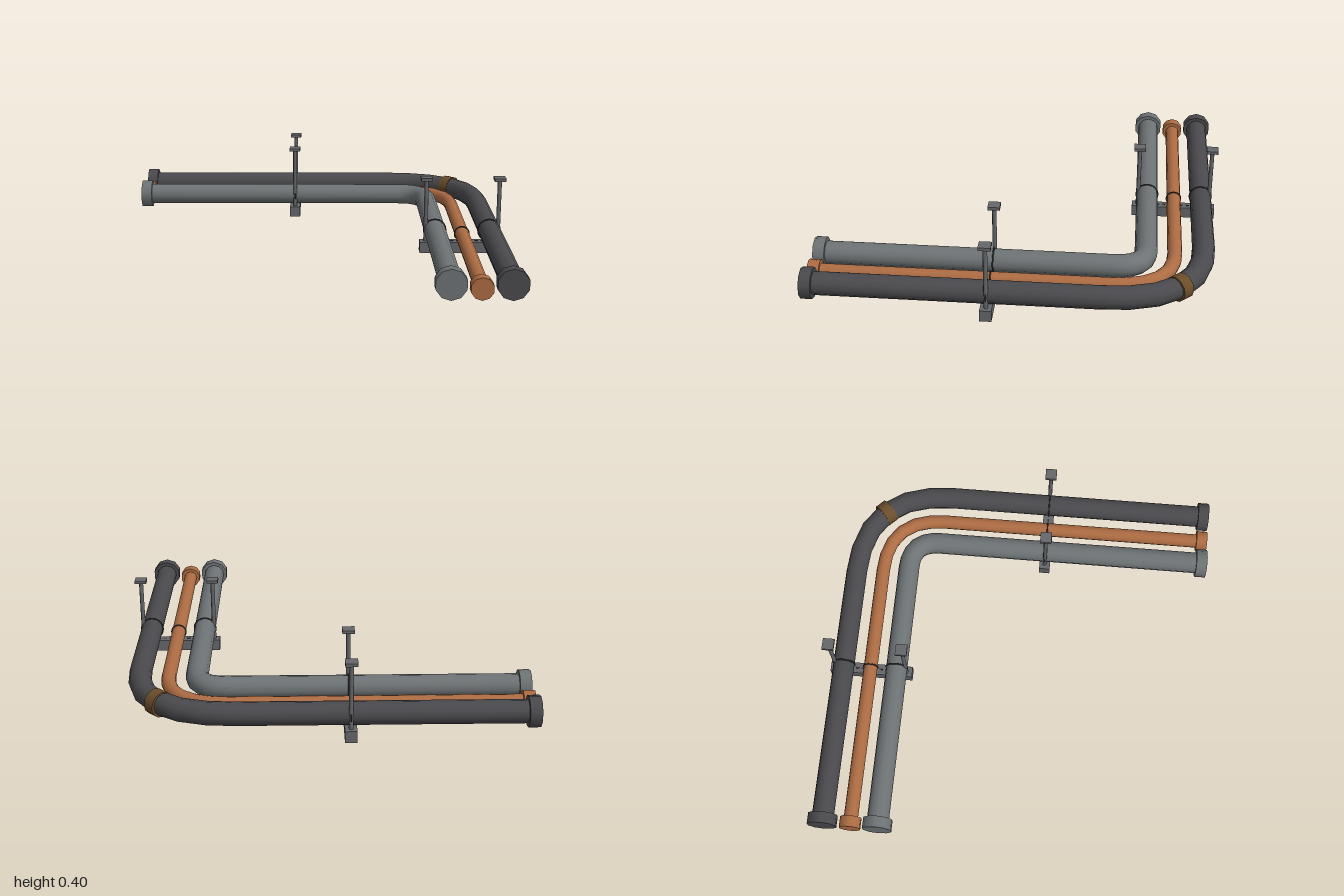
import * as THREE from 'three';

const mat = (name, color, extra = {}) => new THREE.MeshStandardMaterial({ name, color, ...extra });

export function createModel() {
  const root = new THREE.Group();
  root.name = 'pipeCorner';
  const darkIron = mat('darkIron', 0x4a494d);
  const greySteel = mat('greySteel', 0x6e7375);
  const copper = mat('copper', 0xad6c43);
  const bracket = mat('bracketSteel', 0x66676b);
  const rust = mat('rustBand', 0x6b4d2b);
  const black = mat('clampBlack', 0x353538);

  const add = (parent, name, geometry, material, x = 0, y = 0, z = 0) => {
    const mesh = new THREE.Mesh(geometry, material);
    mesh.name = name;
    mesh.position.set(x, y, z);
    parent.add(mesh);
    return mesh;
  };

  // d: distance of each run from the centre, s: where the bend starts
  const pipes = [
    { name: 'outerPipe', d: 0.92, s: 0.43, y: 0.117, r: 0.057, cap: 0.077, m: darkIron },
    { name: 'middlePipe', d: 0.778, s: 0.46, y: 0.097, r: 0.037, cap: 0.056, m: copper },
    { name: 'innerPipe', d: 0.635, s: 0.48, y: 0.117, r: 0.057, cap: 0.077, m: greySteel },
  ];
  const capLength = 0.058;

  for (const p of pipes) {
    const g = new THREE.Group();
    g.name = p.name;
    root.add(g);
    const v = (x, z) => new THREE.Vector3(x, p.y, z);

    // two straight runs joined by a bend
    const back = new THREE.LineCurve3(v(-0.99, -p.d), v(p.s, -p.d));
    const bend = new THREE.QuadraticBezierCurve3(v(p.s, -p.d), v(p.d, -p.d), v(p.d, -p.s));
    const side = new THREE.LineCurve3(v(p.d, -p.s), v(p.d, 0.99));
    add(g, 'backRun', new THREE.TubeGeometry(back, 1, p.r, 12), p.m);
    add(g, 'bend', new THREE.TubeGeometry(bend, 6, p.r, 12), p.m);
    add(g, 'sideRun', new THREE.TubeGeometry(side, 1, p.r, 12), p.m);

    // end flanges
    const capGeo = new THREE.CylinderGeometry(p.cap, p.cap, capLength, 10).rotateX(Math.PI / 2);
    add(g, 'frontFlange', capGeo, p.m, p.d, p.y, 1 - capLength / 2);
    add(g, 'leftEndFlange', capGeo, p.m, -1 + capLength / 2, p.y, -p.d).rotation.y = Math.PI / 2;
  }

  // band around the middle of the outer bend
  const bandGeo = new THREE.CylinderGeometry(0.064, 0.064, 0.06, 12).rotateZ(Math.PI / 2);
  add(root, 'bendBand', bandGeo, rust, 0.797, 0.117, -0.797).rotation.y = -Math.PI / 4;

  // hanger: beam under the pipes, two rods with plates, pipe clamps
  const makeSupport = (name) => {
    const g = new THREE.Group();
    g.name = name;
    add(g, 'beam', new THREE.BoxGeometry(0.442, 0.058, 0.058), bracket, 0.777, 0.029, 0);
    for (const x of [0.587, 0.967]) {
      add(g, 'rod', new THREE.CylinderGeometry(0.011, 0.011, 0.34, 8), bracket, x, 0.225, 0);
      add(g, 'ceilingPlate', new THREE.BoxGeometry(0.06, 0.016, 0.06), bracket, x, 0.394, 0);
    }
    for (const p of pipes) {
      add(g, 'clamp', new THREE.TorusGeometry(p.r + 0.001, 0.004, 6, 20), black, p.d, p.y, 0);
    }
    // slots along the beam top
    for (let i = 0; i < 10; i++) {
      add(g, 'slot', new THREE.BoxGeometry(0.018, 0.004, 0.008), black, 0.63 + i * 0.032, 0.058, 0);
    }
    root.add(g);
    return g;
  };
  makeSupport('sideSupport').position.z = 0.11;
  const backSupport = makeSupport('backSupport');
  backSupport.position.x = -0.112;
  backSupport.rotation.y = Math.PI / 2;

  return root;
}
